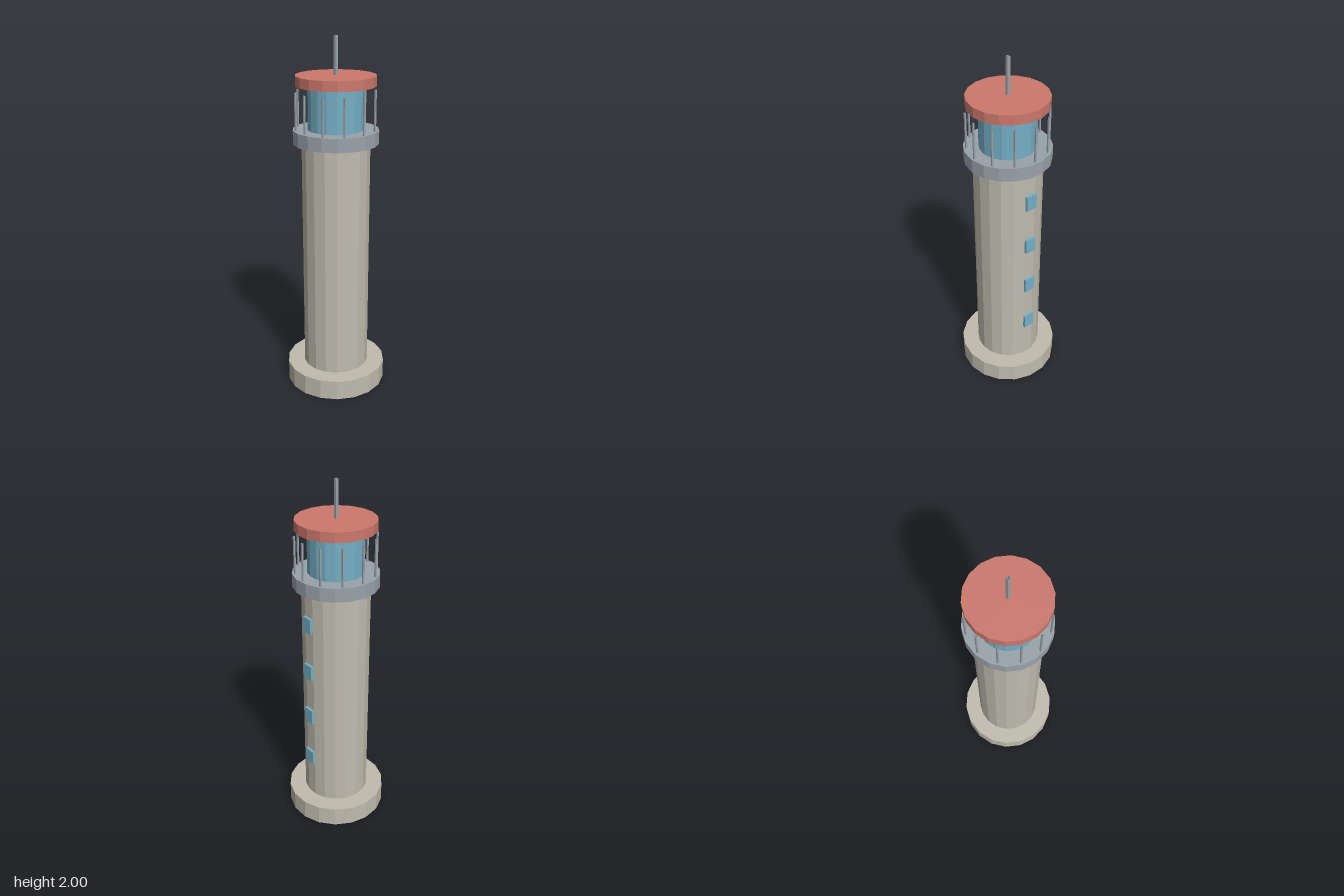
import * as THREE from 'three';

const SIDES = 18;

function material(name, color) {
  const m = new THREE.MeshStandardMaterial({ color, flatShading: true, side: THREE.DoubleSide });
  m.name = name;
  return m;
}

export function createModel() {
  const model = new THREE.Group();
  model.name = 'lighthouse';
  const stone = material('stone', 0xbfbbae);
  const metal = material('metal', 0x99a2aa);
  const glass = material('glass', 0x74afc5);
  const red = material('roofRed', 0xcc786c);

  function add(name, geometry, mat, parent = model) {
    const mesh = new THREE.Mesh(geometry, mat);
    mesh.name = name;
    parent.add(mesh);
    return mesh;
  }

  // Drum with a closed top and an open underside, corners on the x axis
  function drum(name, radius, bottom, top, mat) {
    const profile = [[radius, bottom], [radius, top], [0, top]].map(([x, y]) => new THREE.Vector2(x, y));
    const geometry = new THREE.LatheGeometry(profile, SIDES).rotateY(Math.PI / SIDES);
    return add(name, geometry, mat);
  }

  // Thin square rod without end caps
  function rod(width, bottom, top) {
    const r = width / Math.SQRT2;
    return new THREE.CylinderGeometry(r, r, top - bottom, 4, 1, true)
      .rotateY(Math.PI / 4)
      .translate(0, (top + bottom) / 2, 0);
  }

  drum('base', 0.285, 0, 0.115, stone);
  drum('tower', 0.188, 0.115, 1.435, stone);
  drum('gallery', 0.234, 1.435, 1.51, metal);
  drum('lantern', 0.153, 1.51, 1.743, glass);
  drum('roof', 0.217, 1.743, 1.797, red);
  add('mast', rod(0.016, 1.797, 2), metal);

  // Ring of railing posts around the gallery
  const railing = new THREE.Group();
  railing.name = 'railing';
  model.add(railing);
  const postGeometry = rod(0.009, 1.51, 1.713);
  for (let i = 0; i < 12; i++) {
    const a = (i * Math.PI) / 6;
    add('railingPost', postGeometry, metal, railing).position.set(0.217 * Math.cos(a), 0, 0.217 * Math.sin(a));
  }

  // Column of windows up the back
  const windowGeometry = new THREE.BoxGeometry(0.064, 0.088, 0.02);
  for (let i = 0; i < 4; i++) {
    add('window', windowGeometry, glass).position.set(0, 0.389 + i * 0.287, -0.191);
  }

  return model;
}
